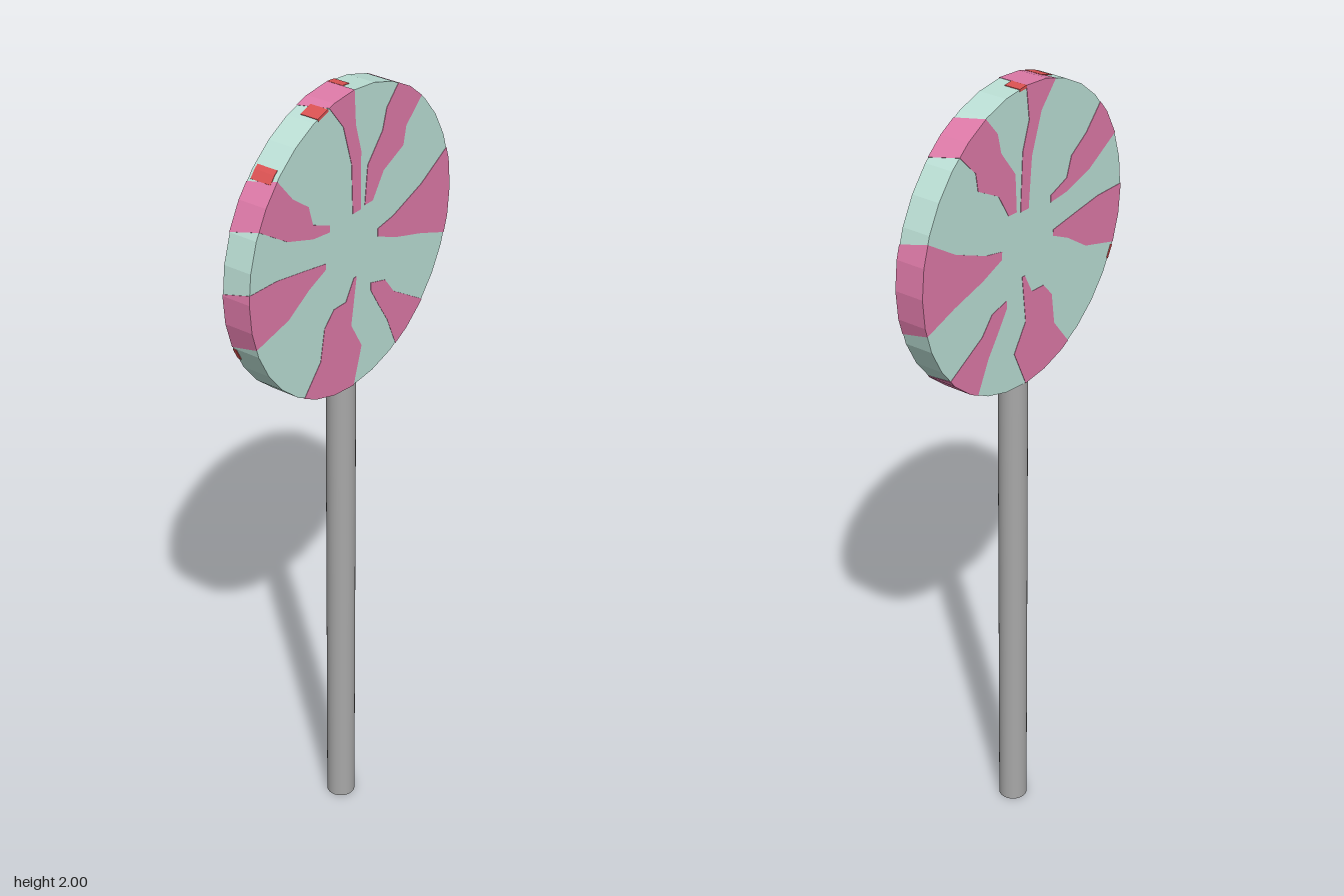
import * as THREE from 'three';

const RADIUS = 0.375, HALF = 0.038, CENTRE_Y = 1.625;
const STEP = Math.PI / 16; // one facet of the 32-sided rim
const TWIST = THREE.MathUtils.degToRad(3); // the pattern leans across the rim
const rad = THREE.MathUtils.degToRad;

const named = (name, color) => {
  const m = new THREE.MeshStandardMaterial({ color });
  m.name = name;
  return m;
};

// Point on the 32-sided outline at an angle
function rimPoint(a, r) {
  const d = a - Math.floor(a / STEP) * STEP;
  const k = r * Math.cos(STEP / 2) / Math.cos(d - STEP / 2);
  return new THREE.Vector2(Math.cos(a) * k, Math.sin(a) * k);
}

// Slab through the disc: rim arc a0..a1 (degrees) closed by inner points, from x0 to x1
function slab(a0, a1, inner, x0, x1, r, twist) {
  const s = rad(a0), e = rad(a1), pts = [rimPoint(s, r)];
  for (let k = Math.floor(s / STEP + 1e-4) + 1; k * STEP < e - 1e-4; k++) pts.push(rimPoint(k * STEP, r));
  pts.push(rimPoint(e, r));
  inner.forEach(([u, v]) => pts.push(new THREE.Vector2(u / 100, v / 100)));
  const g = new THREE.ExtrudeGeometry(new THREE.Shape(pts), { depth: x1 - x0, bevelEnabled: false });
  g.translate(0, 0, x0);

  // Turn the far side a little, but keep the facet corners in place
  const p = g.attributes.position;
  for (let i = 0; i < p.count; i++) {
    const x = p.getX(i), y = p.getY(i), len = Math.hypot(x, y), a = Math.atan2(y, x);
    if (!twist || p.getZ(i) > 0) continue;
    const onRim = len > r * 0.99;
    if (onRim && Math.abs(a / STEP - Math.round(a / STEP)) < 1e-3) continue;
    const q = onRim ? rimPoint(a + twist, r)
      : new THREE.Vector2(Math.cos(a + twist) * len, Math.sin(a + twist) * len);
    p.setXY(i, q.x, q.y);
  }
  g.computeVertexNormals();
  g.rotateY(Math.PI / 2);
  return g;
}

// Swirl stripes: rim start, rim end, then the inner outline in hundredths
const STRIPES = [
  [90, 104, [[-4, 30], [-1, 20], [-0.5, 7.5], [2.5, 7.5], [2.5, 22], [0.5, 29]]],
  [47.2, 64, [[12, 29], [10.5, 24], [5, 17.5], [4, 8], [7, 8], [11, 14], [18.5, 17.5], [19.5, 22]]],
  [-18, 16.5, [[26, 5], [15, 1], [9, 0], [9, -2], [16, -5], [26, -8]]],
  [-63.8, -44, [[15.5, -19], [12, -14.5], [6.5, -13], [6.5, -15], [9.5, -20], [13, -25.5]]],
  [240.2, 270, [[3, -28], [-1, -21], [1, -9], [0, -9], [-3, -14], [-7.5, -14], [-11, -17.5], [-12.5, -25.5]]],
  [176.5, 199, [[-24, -9.5], [-16.5, -5], [-10.5, -2.5], [-10.5, -1], [-19, 0.5], [-28, 2]]],
  [136.7, 154.4, [[-24, 10], [-15, 7], [-9, 6.3], [-9, 8], [-15, 10.5], [-16.5, 15.5], [-22, 19.5]]],
];

// Small red flecks on the rim: start, end, x range
const FLECKS = [
  [86.2, 90, -0.038, 0.004],
  [104.7, 110.5, -0.01, 0.038],
  [133, 138.5, -0.03, 0.025],
  [203, 208.5, -0.038, -0.028],
];

export function createModel() {
  const mint = named('mint candy', 0xbbdfd5);
  const pink = named('pink candy', 0xde7aa8);
  const red = named('red fleck', 0xdb5252);
  const grey = named('grey stick', 0xa8a8a8);

  const model = new THREE.Group();
  model.name = 'lollipop';
  const add = (name, geometry, material, parent) => {
    const mesh = new THREE.Mesh(geometry, material);
    mesh.name = name;
    parent.add(mesh);
    return mesh;
  };

  // Stick
  const top = CENTRE_Y - RADIUS + 0.02;
  add('stick', new THREE.CylinderGeometry(0.036, 0.036, top, 32), grey, model).position.y = top / 2;

  // Candy disc facing sideways
  const candy = new THREE.Group();
  candy.name = 'candy';
  candy.position.y = CENTRE_Y;
  model.add(candy);

  const disc = new THREE.CylinderGeometry(RADIUS - 0.001, RADIUS - 0.001, 2 * HALF - 0.002, 32).toNonIndexed();
  disc.rotateZ(Math.PI / 2);
  disc.computeVertexNormals();
  add('candyDisc', disc, mint, candy);

  STRIPES.forEach(([a0, a1, inner], i) =>
    add(`stripe${i + 1}`, slab(a0, a1, inner, -HALF, HALF, RADIUS, TWIST), pink, candy));

  FLECKS.forEach(([a0, a1, x0, x1], i) => {
    const inner = [a1, a0].map(a => [36.8 * Math.cos(rad(a)), 36.8 * Math.sin(rad(a))]);
    add(`rimFleck${i + 1}`, slab(a0, a1, inner, x0, x1, RADIUS + 0.0006, 0), red, candy);
  });

  return model;
}
